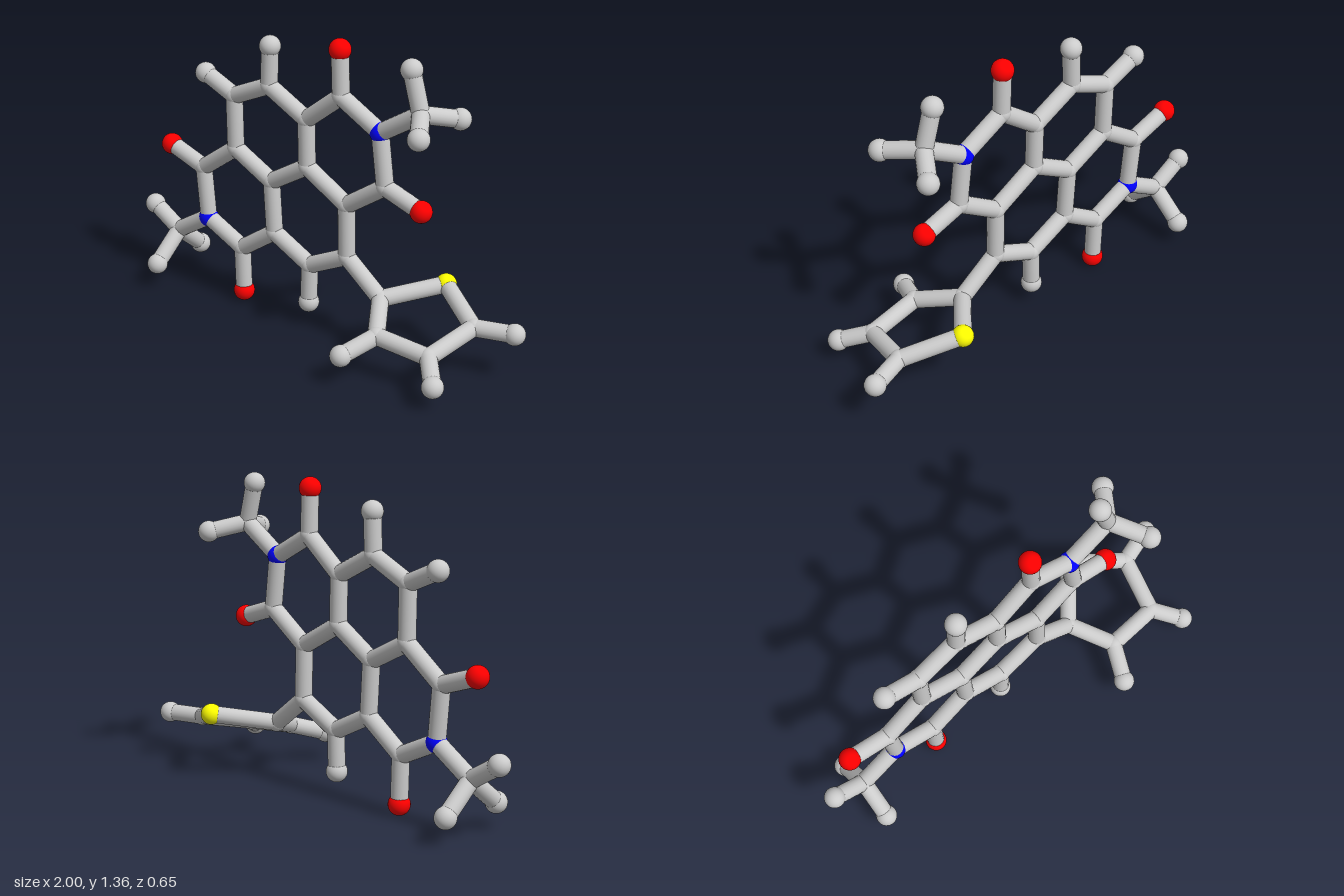
import * as THREE from 'three';

const BOND_RADIUS = 0.038;
const COLORS = { C: 0xcccccc, H: 0xcccccc, O: 0xff0000, N: 0x0000ff, S: 0xffff00 };
const RADII = { C: 0.041, H: 0.047, O: 0.048, N: 0.045, S: 0.047 };
const NAMES = { C: 'carbon', H: 'hydrogen', O: 'oxygen', N: 'nitrogen', S: 'sulfur' };

// The fused rings lie in one slightly turned upright plane
const planeZ = (x) => -0.075 + 0.015 * x;

// Each atom: x, y and, when off the ring plane, z. First letter is the element.
const ATOMS = {
  // upper ring
  C1: [-0.45, 0.98], C2: [-0.25, 1.07], C3: [-0.045, 0.965],
  C4: [-0.04, 0.75], C5: [-0.24, 0.63], C6: [-0.445, 0.735],
  H1: [-0.615, 1.05], H2: [-0.243, 1.25],
  // lower ring
  C7: [0.175, 0.63], C8: [0.18, 0.39], C9: [-0.025, 0.29], C10: [-0.225, 0.39],
  H9: [-0.03, 0.11],
  // right imide ring and methyl group
  C11: [0.14, 1.11], O11: [0.133, 1.312], N1: [0.345, 1.0], C12: [0.375, 0.765], O12: [0.56, 0.705],
  C13: [0.545, 1.125], H13: [0.495, 1.303], H14: [0.643, 1.088, 0.088], H15: [0.643, 1.088, -0.207],
  // left imide ring and methyl group
  C14: [-0.415, 0.26], O14: [-0.408, 0.05], N2: [-0.617, 0.355], C15: [-0.64, 0.595], O15: [-0.833, 0.66],
  C16: [-0.805, 0.24], H16: [-0.953, 0.33], H17: [-0.808, 0.117, 0.065], H18: [-0.808, 0.117, -0.235],
  // tilted five-sided ring
  C17: [0.365, 0.25, -0.065], S1: [0.553, 0.292, -0.283], C18: [0.785, 0.215, -0.145],
  C19: [0.728, 0.16, 0.1], C20: [0.48, 0.185, 0.12],
  H19: [0.953, 0.215, -0.198], H20: [0.828, 0.105, 0.212], H21: [0.412, 0.135, 0.275],
};

// Chains of bonded atoms
const CHAINS = [
  'C1 C2 C3 C4 C5 C6 C1', 'H1 C1', 'H2 C2',
  'C4 C7 C8 C9 C10 C5', 'H9 C9',
  'C3 C11 N1 C12 C7', 'C11 O11', 'C12 O12', 'N1 C13 H13', 'H14 C13 H15',
  'C10 C14 N2 C15 C6', 'C14 O14', 'C15 O15', 'N2 C16 H16', 'H17 C16 H18',
  'C8 C17 S1 C18 C19 C20 C17', 'C18 H19', 'C19 H20', 'C20 H21',
];

export function createModel() {
  const model = new THREE.Group();
  const atoms = new THREE.Group();
  const bonds = new THREE.Group();
  atoms.name = 'atoms';
  bonds.name = 'bonds';
  model.add(atoms, bonds);

  const materials = {};
  const spheres = {};
  for (const e in COLORS) {
    materials[e] = new THREE.MeshStandardMaterial({ color: COLORS[e] });
    spheres[e] = new THREE.SphereGeometry(RADII[e], 24, 16);
  }

  // Atom balls
  const points = {};
  for (const [id, [x, y, z = planeZ(x)]] of Object.entries(ATOMS)) {
    points[id] = new THREE.Vector3(x, y, z);
    const ball = new THREE.Mesh(spheres[id[0]], materials[id[0]]);
    ball.position.copy(points[id]);
    ball.name = NAMES[id[0]] + 'Atom';
    atoms.add(ball);
  }

  // Bond rods, centre to centre
  const up = new THREE.Vector3(0, 1, 0);
  const addBond = (a, b) => {
    const dir = b.clone().sub(a);
    const rod = new THREE.Mesh(
      new THREE.CylinderGeometry(BOND_RADIUS, BOND_RADIUS, dir.length(), 20, 1, true), materials.C);
    rod.position.copy(a).add(b).multiplyScalar(0.5);
    rod.quaternion.setFromUnitVectors(up, dir.normalize());
    rod.name = 'bond';
    bonds.add(rod);
  };
  for (const chain of CHAINS) {
    const ids = chain.split(' ');
    for (let i = 1; i < ids.length; i++) addBond(points[ids[i - 1]], points[ids[i]]);
  }
  return model;
}
